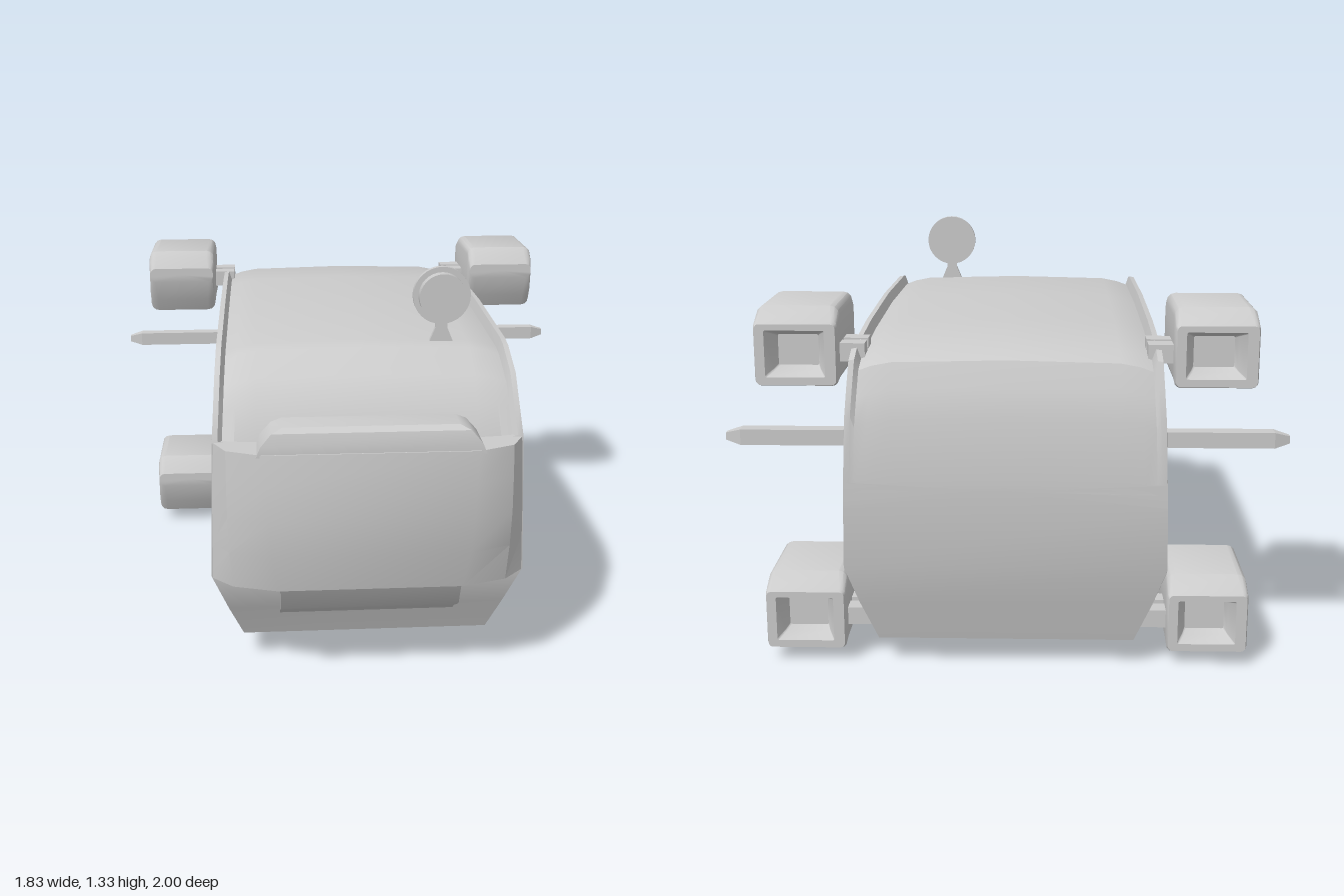
import * as THREE from 'three';
import { toCreasedNormals } from 'three/addons/utils/BufferGeometryUtils.js';

const lerp = THREE.MathUtils.lerp;

// Skin a list of equal-length rings and close both ends with a fan.
function loft(rings, crease = 0.6) {
  const n = rings[0].length, pos = [], idx = [];
  rings.forEach(r => r.forEach(p => pos.push(...p)));
  for (let i = 0; i < rings.length - 1; i++) {
    for (let j = 0; j < n; j++) {
      const a = i * n + j, b = i * n + (j + 1) % n;
      idx.push(a, b, b + n, a, b + n, a + n);
    }
  }
  [0, rings.length - 1].forEach((k, end) => {
    const c = pos.length / 3;
    pos.push(...[0, 1, 2].map(t => rings[k].reduce((s, p) => s + p[t], 0) / n));
    for (let j = 0; j < n; j++) {
      const a = k * n + j, b = k * n + (j + 1) % n;
      if (end) idx.push(c, a, b); else idx.push(c, b, a);
    }
  });
  const g = new THREE.BufferGeometry();
  g.setAttribute('position', new THREE.Float32BufferAttribute(pos, 3));
  g.setIndex(idx);
  return toCreasedNormals(g, crease);
}

// Rounded rectangle in the xy plane at depth z.
function roundRect(z, x0, x1, y0, y1, r) {
  const out = [];
  [[x1 - r, y0 + r], [x1 - r, y1 - r], [x0 + r, y1 - r], [x0 + r, y0 + r]].forEach(([cx, cy], k) => {
    for (let s = 0; s <= 3; s++) {
      const t = (k - 1 + s / 3) * Math.PI / 2;
      out.push([cx + r * Math.cos(t), cy + r * Math.sin(t), z]);
    }
  });
  return out;
}

// Rectangle in the xz plane at height y.
const slab = (y, x0, x1, z0, z1) => [[x1, y, z1], [x1, y, z0], [x0, y, z0], [x0, y, z1]];

// Half-width of the hull at a height.
function hullWidth(y) {
  const k = [[0.09, 0.42], [0.34, 0.52], [0.82, 0.505], [1.1, 0.49]];
  for (let i = 0; i < 3; i++) {
    if (y <= k[i + 1][0]) return lerp(k[i][1], k[i + 1][1], (y - k[i][0]) / (k[i + 1][0] - k[i][0]));
  }
  return 0.49;
}

// Hull section: sloped sill, upright wall, raised roof rim and crowned roof.
function hullRing([z, yb, yt]) {
  const w = hullWidth(yt);
  const y1 = Math.max(0.34, yb + 0.005), y2 = Math.min(0.82, yt - 0.005);
  const half = [
    [hullWidth(yb), yb], [hullWidth(y1), y1], [hullWidth(y2), y2],
    [w, yt - 0.003], [w - 0.018, yt], [w - 0.03, yt - 0.035], [w - 0.07, yt - 0.02], [0.36, yt - 0.008],
  ];
  const left = half.map(([x, y]) => [x, y, z]);
  const right = half.map(([x, y]) => [-x, y, z]).reverse();
  return [...left, [0, yt, z], ...right];
}

// Nose section: faceted plan that narrows to a bowed front.
function noseRing([y, w, hw, zf]) {
  const mid = (w + hw) / 2 + 0.04, zm = lerp(0.85, zf, 0.6);
  return [[w, 0.85], [w - 0.02, 0.8], [-w + 0.02, 0.8], [-w, 0.85], [-mid, zm], [-hw, zf], [hw, zf], [mid, zm]]
    .map(([x, z]) => [x, y, z]);
}

export function createModel() {
  const group = new THREE.Group();
  const material = new THREE.MeshStandardMaterial({ color: 0xcccccc });
  const add = (name, geometry, x = 0, y = 0, z = 0) => {
    const m = new THREE.Mesh(geometry, material);
    m.name = name;
    m.position.set(x, y, z);
    group.add(m);
    return m;
  };

  // Main hull, rear to front: z, lowest y, highest y
  add('hull', loft([
    [-1, 0.57, 0.65], [-0.985, 0.36, 0.86], [-0.955, 0.23, 0.95], [-0.92, 0.09, 1.03], [-0.85, 0.09, 1.06],
    [-0.5, 0.09, 1.085], [0, 0.09, 1.095], [0.54, 0.09, 1.08], [0.6, 0.09, 1.07], [0.73, 0.09, 1.01],
    [0.78, 0.21, 0.935], [0.85, 0.36, 0.83],
  ].map(hullRing)));

  // Bowed window nose
  add('nose', loft([
    [0.355, 0.515, 0.3, 0.97], [0.48, 0.512, 0.32, 0.99], [0.6, 0.51, 0.33, 1],
    [0.72, 0.506, 0.335, 0.995], [0.825, 0.5, 0.34, 0.985],
  ].map(noseRing)));

  // Brow over the window
  add('brow', loft([
    slab(0.815, -0.365, 0.365, 0.835, 0.98), slab(0.85, -0.35, 0.35, 0.835, 0.98),
    slab(0.89, -0.315, 0.315, 0.84, 0.97), slab(0.905, -0.28, 0.28, 0.845, 0.95),
  ]));

  // Chin under the window
  add('chin', loft([
    slab(0.19, -0.295, 0.295, 0.7, 0.785), slab(0.215, -0.295, 0.295, 0.7, 0.82),
    slab(0.27, -0.295, 0.295, 0.72, 0.92), slab(0.36, -0.295, 0.295, 0.78, 0.97),
  ]));

  // Hatch on the left wall and the flush panel opposite
  add('sideHatch', loft([
    slab(0.325, 0.48, 0.567, -0.095, 0.285), slab(0.87, 0.48, 0.545, -0.095, 0.285),
    slab(0.905, 0.48, 0.51, -0.095, 0.285),
  ], 0.3));
  add('sidePanel', loft([
    slab(0.34, -0.524, -0.48, -0.095, 0.285), slab(0.82, -0.509, -0.48, -0.095, 0.285),
    slab(0.89, -0.505, -0.48, -0.095, 0.285),
  ], 0.3));

  // Belly block
  add('bellyBlock', loft([slab(0, -0.28, 0.28, -0.35, -0.01), slab(0.1, -0.3, 0.3, -0.37, 0.01)], 0.2));

  // Thruster pods with recessed rear nozzles, their struts, and side fins
  const pod = loft([
    roundRect(-0.84, 0.60, 0.73, 0.055, 0.155, 0.005),
    roundRect(-0.87, 0.59, 0.74, 0.045, 0.165, 0.005),
    roundRect(-0.915, 0.57, 0.76, 0.03, 0.18, 0.005),
    roundRect(-0.915, 0.535, 0.79, 0.005, 0.2, 0.015),
    roundRect(-0.9, 0.53, 0.795, 0, 0.21, 0.02),
    roundRect(-0.84, 0.53, 0.795, 0, 0.248, 0.03),
    roundRect(-0.56, 0.53, 0.795, 0, 0.248, 0.03),
    roundRect(-0.535, 0.53, 0.795, 0.05, 0.225, 0.03),
    roundRect(-0.503, 0.535, 0.79, 0.13, 0.185, 0.02),
  ]);
  const finRing = (x, r) => [[x, -r, -r], [x, r, -r], [x, r, r], [x, -r, r]];
  const fin = loft([finRing(0.48, 0.026), finRing(0.865, 0.026), finRing(0.915, 0.012)], 0.2);
  for (const side of [1, -1]) {
    const turn = side === 1 ? 0 : Math.PI;
    for (const [level, y, strutY, inner] of [['upper', 0.94, 1.04, 0.45], ['lower', 0.045, 0.14, 0.38]]) {
      const p = pod.clone();
      if (side < 0) p.translate(-1.325, 0, 0);
      add(level + 'Pod', p, 0, y, 0);
      for (const z of [-0.83, -0.74]) {
        add(level + 'Strut', new THREE.BoxGeometry(0.56 - inner, 0.06, 0.06), side * (0.56 + inner) / 2, strutY, z);
      }
    }
    add('sideFin', fin, 0, 0.755, -0.825).rotation.y = turn;
  }

  // Round dish on a flared foot
  const disc = (r, d) => new THREE.CylinderGeometry(r, r, d, 32).rotateX(Math.PI / 2);
  add('dishBack', disc(0.098, 0.02), 0.27, 1.23, 0.543);
  add('dishFace', disc(0.08, 0.04), 0.27, 1.23, 0.57);
  const foot = new THREE.Shape([[-0.045, 0], [0.045, 0], [0.02, 0.06], [0.02, 0.1], [-0.02, 0.1], [-0.02, 0.06]]
    .map(p => new THREE.Vector2(...p)));
  add('dishFoot', new THREE.ExtrudeGeometry(foot, { depth: 0.018, bevelEnabled: false }), 0.27, 1.06, 0.534);

  return group;
}
